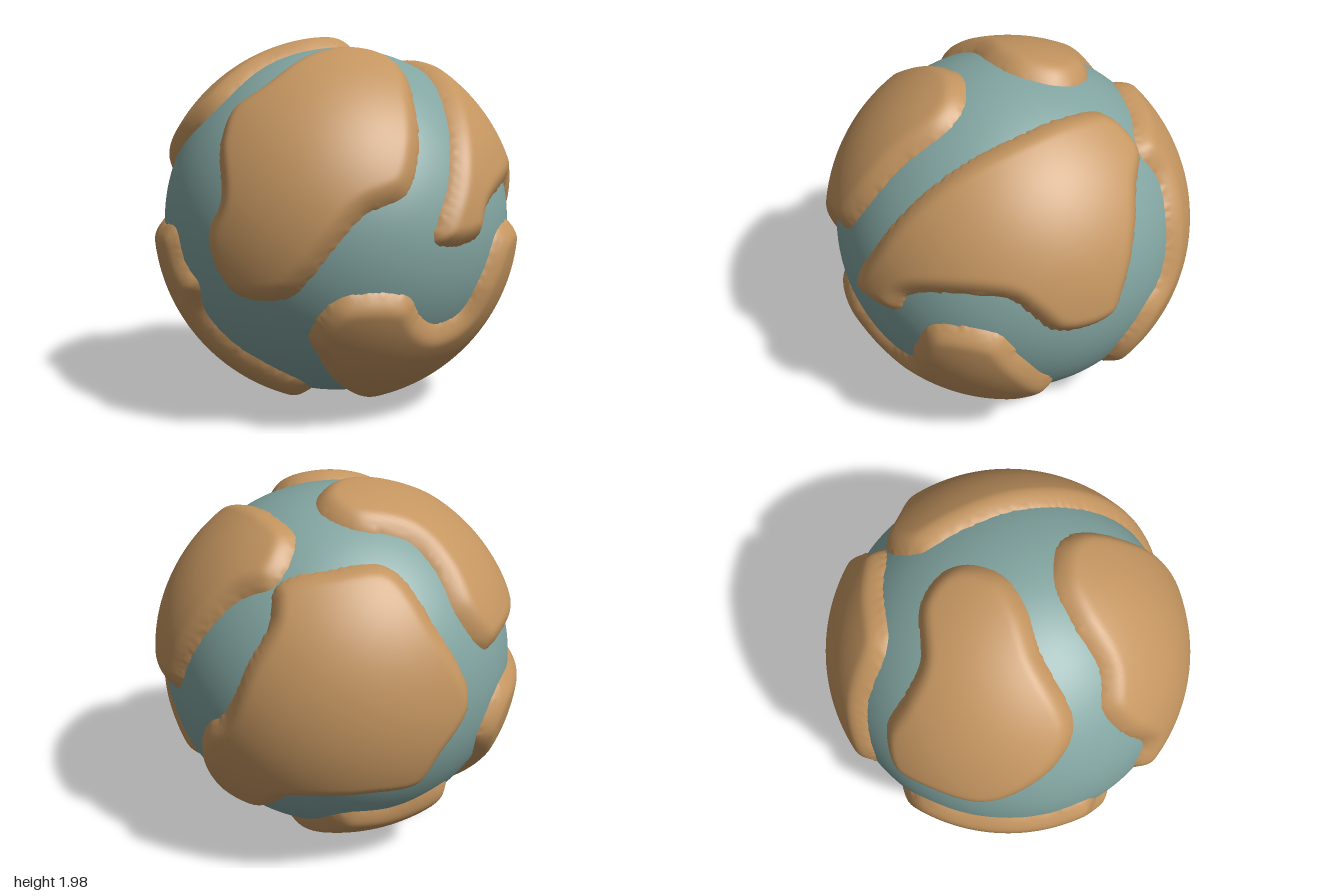
import * as THREE from 'three';
import { mergeVertices } from 'three/addons/utils/BufferGeometryUtils.js';

const CORE = 0.935;   // groove radius
const OUTER = 0.995;  // plate radius
const BEVEL = 0.11;   // width of the rounded plate rim

// Plate outlines as directions from the centre of the ball
const PLATES = {
  frontPlate: [[-.5, .45, .66], [-.46, .62, .55], [-.3, .74, .5], [-.12, .87, .33], [.05, .91, .22],
    [.25, .88, .2], [.38, .82, .28], [.46, .65, .5], [.49, .42, .68], [.44, .24, .8], [.25, .15, .89],
    [.1, -.02, .93], [0, -.15, .92], [-.12, -.26, .89], [-.4, -.26, .81], [-.54, 0, .77], [-.47, .2, .79]],
  leftPlate: [[.58, 0, .74], [.78, 0, .52], [.82, .13, .45], [.88, .21, .25], [.91, .21, -.05], [.92, .13, -.15],
    [.89, 0, -.28], [.75, 0, -.55], [.69, .15, -.61], [.56, .4, -.67], [.42, .54, -.67], [.22, .62, -.66],
    [.15, .79, -.48], [.28, .84, -.28], [.42, .83, -.08], [.55, .73, .2], [.63, .54, .45], [.64, .3, .62]],
  topRightPlate: [[.08, .91, -.23], [.04, .94, -.03], [-.1, .92, .1], [-.29, .87, .2], [-.55, .64, .41],
    [-.7, .5, .37], [-.84, .36, .22], [-.9, .25, .03], [-.87, .24, -.24], [-.79, .24, -.45],
    [-.65, .44, -.51], [-.54, .64, -.43], [-.39, .77, -.365], [-.13, .83, -.41], [.02, .87, -.34]],
  backPlate: [[.22, .62, -.67], [-.04, .69, -.62], [-.31, .69, -.55], [-.55, .42, -.63], [-.72, .01, -.59],
    [-.6, -.22, -.68], [-.48, -.4, -.69], [-.22, -.42, -.81], [.14, -.45, -.81], [.3, -.605, -.65],
    [.53, -.55, -.54], [.63, -.35, -.6], [.57, -.12, -.72], [.46, 0, -.81], [.34, .26, -.82], [.24, .46, -.77]],
  lowerLeftPlate: [[.12, -.26, .89], [.45, -.26, .78], [.51, -.38, .69], [.58, -.44, .59], [.7, -.4, .48],
    [.8, -.23, .44], [.88, 0, .32], [.94, 0, 0], [.92, -.15, -.1], [.84, -.33, -.2], [.74, -.5, -.27],
    [.62, -.7, -.1], [.3, -.88, 0], [.16, -.9, .2], [.08, -.8, .48], [0, -.58, .74], [-.03, -.46, .81]],
  lowerRightPlate: [[-.76, .01, .55], [-.7, -.15, .6], [-.62, -.25, .66], [-.61, -.4, .59], [-.45, -.58, .58],
    [-.3, -.67, .58], [-.13, -.78, .5], [-.1, -.89, .27], [-.15, -.92, .14], [-.3, -.88, .1],
    [-.54, -.76, -.05], [-.73, -.54, -.23], [-.79, -.23, -.46], [-.87, -.02, -.34], [-.93, .01, 0], [-.87, .01, .35]],
  bottomPlate: [[.21, -.89, -.18], [.23, -.84, -.33], [.07, -.73, -.58], [-.12, -.6, -.7], [-.36, -.61, -.61],
    [-.62, -.53, -.44], [-.6, -.62, -.35], [-.43, -.79, -.24], [-.2, -.91, -.08], [0, -.94, .04], [.13, -.92, -.04]],
};

// Smooth shared-vertex ball of radius one
function unitBall(detail) {
  const g = new THREE.IcosahedronGeometry(1, detail);
  g.deleteAttribute('uv');
  g.deleteAttribute('normal');
  return mergeVertices(g, 1e-5);
}

// Signed distance on the unit ball to a closed outline, positive inside
function outlineDistance(points) {
  const curve = new THREE.CatmullRomCurve3(points.map(p => new THREE.Vector3(...p).normalize()), true, 'centripetal');
  const ring = curve.getSpacedPoints(200).slice(0, -1).map(p => p.normalize());
  const axis = ring.reduce((s, p) => s.add(p), new THREE.Vector3()).normalize();
  const turn = new THREE.Quaternion().setFromUnitVectors(axis, new THREE.Vector3(0, 0, 1));
  const flatten = v => {
    const q = v.clone().applyQuaternion(turn);
    const k = 1 / Math.max(1 + q.z, 1e-4);
    return [q.x * k, q.y * k];
  };
  const flat = ring.map(flatten);
  return v => {
    const [x, y] = flatten(v);
    let inside = false, near = Infinity;
    for (let i = 0, j = ring.length - 1; i < ring.length; j = i++) {
      const [ax, ay] = flat[i], [bx, by] = flat[j];
      if ((ay > y) !== (by > y) && x < (bx - ax) * (y - ay) / (by - ay) + ax) inside = !inside;
      near = Math.min(near, v.distanceToSquared(ring[i]));
    }
    return (inside ? 1 : -1) * Math.sqrt(near);
  };
}

// Raised plate: a patch of the ball that swells inside its outline and dips under the core outside
function plateGeometry(ball, points) {
  const distance = outlineDistance(points);
  const pos = ball.attributes.position;
  const dist = [], coords = [], index = [];
  const v = new THREE.Vector3();
  for (let i = 0; i < pos.count; i++) {
    v.fromBufferAttribute(pos, i).normalize();
    const d = distance(v);
    const r = d > 0
      ? CORE + (OUTER - CORE) * Math.sin(Math.PI / 2 * Math.min(d / BEVEL, 1))
      : CORE + 0.85 * Math.max(d, -0.05);
    dist.push(d);
    coords.push(v.x * r, v.y * r, v.z * r);
  }
  // Keep only triangles touching the inside, and renumber their corners
  const used = new Map(), kept = [];
  const corner = i => {
    if (!used.has(i)) {
      used.set(i, used.size);
      kept.push(coords[3 * i], coords[3 * i + 1], coords[3 * i + 2]);
    }
    return used.get(i);
  };
  const src = ball.index.array;
  for (let t = 0; t < src.length; t += 3) {
    const tri = [src[t], src[t + 1], src[t + 2]];
    if (tri.some(i => dist[i] > 0)) index.push(...tri.map(corner));
  }
  const g = new THREE.BufferGeometry();
  g.setAttribute('position', new THREE.Float32BufferAttribute(kept, 3));
  g.setIndex(index);
  g.computeVertexNormals();
  return g;
}

export function createModel() {
  const clay = new THREE.MeshStandardMaterial({ color: 0xc49560 });
  clay.name = 'clay brown';
  const teal = new THREE.MeshStandardMaterial({ color: 0x82a5a1 });
  teal.name = 'muted teal';

  const model = new THREE.Group();
  model.name = 'platedBall';
  const add = (name, geometry, material) => {
    const mesh = new THREE.Mesh(geometry, material);
    mesh.name = name;
    mesh.position.y = 1;
    model.add(mesh);
  };

  // Inner ball seen in the grooves
  const core = unitBall(26).scale(CORE, CORE, CORE);
  core.computeVertexNormals();
  add('core', core, teal);

  // Raised plates
  const ball = unitBall(60);
  for (const [name, points] of Object.entries(PLATES)) add(name, plateGeometry(ball, points), clay);
  return model;
}
